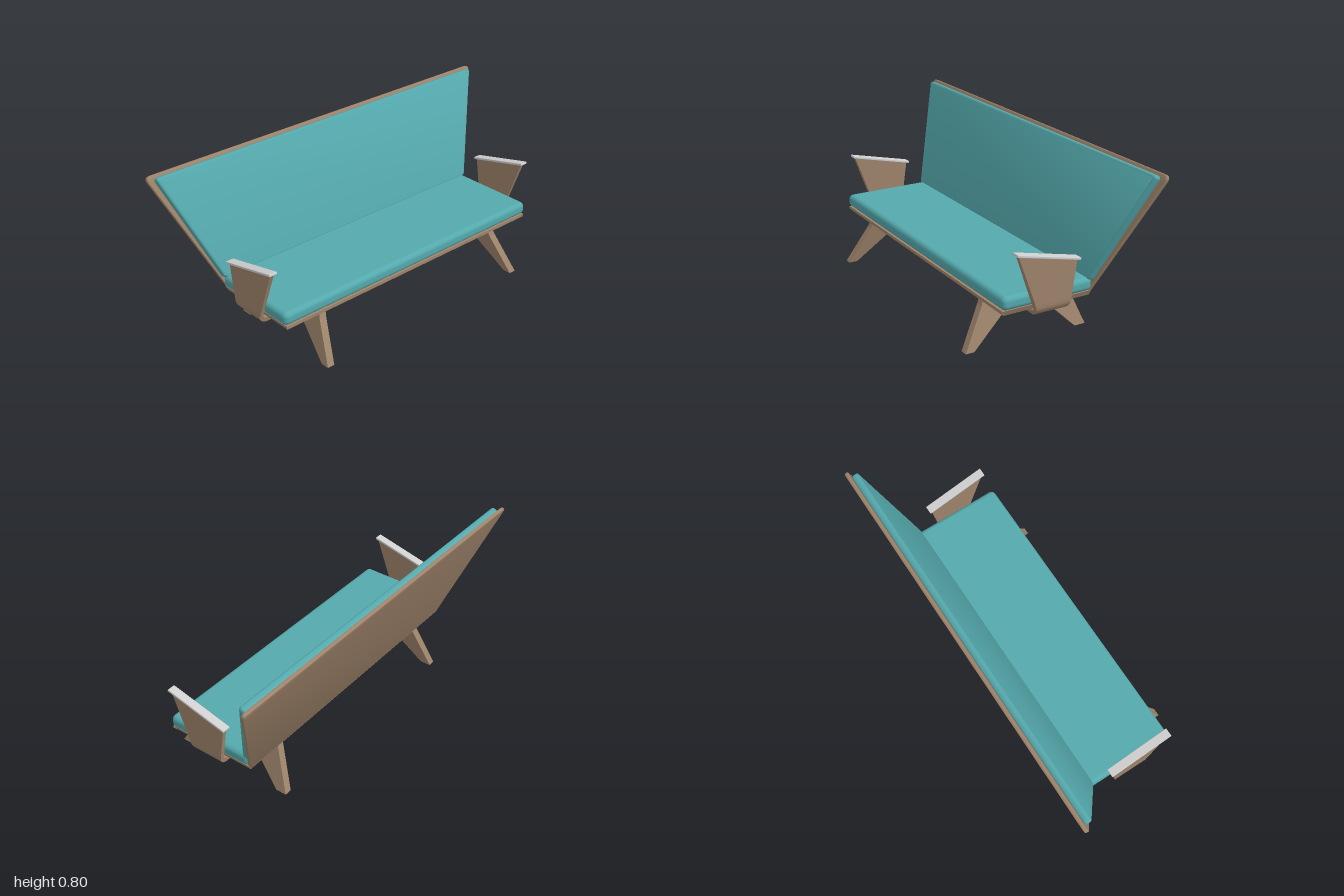
import * as THREE from 'three';
import { toCreasedNormals } from 'three/addons/utils/BufferGeometryUtils.js';
import { RoundedBoxGeometry } from 'three/addons/geometries/RoundedBoxGeometry.js';

const wood = new THREE.MeshStandardMaterial({ color: 0x9f846b });
wood.name = 'walnut wood';
const fabric = new THREE.MeshStandardMaterial({ color: 0x54a9ad });
fabric.name = 'teal fabric';
const metal = new THREE.MeshStandardMaterial({ color: 0xd0d0d0 });
metal.name = 'pale metal';

function addMesh(parent, name, geometry, material) {
  const mesh = new THREE.Mesh(geometry, material);
  mesh.name = name;
  parent.add(mesh);
  return mesh;
}

// Closed outline with rounded corners; each point is [x, y, radius]
function roundedShape(points) {
  const shape = new THREE.Shape();
  points.forEach(([x, y, r], i) => {
    const p = new THREE.Vector2(x, y);
    const toward = (q) => new THREE.Vector2(q[0], q[1]).sub(p).setLength(r).add(p);
    const a = toward(points[(i + points.length - 1) % points.length]);
    const b = toward(points[(i + 1) % points.length]);
    if (i === 0) shape.moveTo(a.x, a.y);
    else shape.lineTo(a.x, a.y);
    if (r > 0) shape.quadraticCurveTo(x, y, b.x, b.y);
  });
  shape.closePath();
  return shape;
}

// Slab from z0 to z1 whose rounded rim stays inside the outline
function slab(shape, z0, z1, bevel, segments) {
  const g = new THREE.ExtrudeGeometry(shape, {
    depth: z1 - z0 - 2 * bevel, bevelEnabled: true, bevelSize: bevel, bevelOffset: -bevel,
    bevelThickness: bevel, bevelSegments: segments, curveSegments: 6,
  });
  g.translate(0, 0, z0 + bevel);
  return toCreasedNormals(g, 0.6);
}

const trapezoid = (bottom, top, low, high, rLow, rHigh) => roundedShape([
  [-bottom, low, rLow], [bottom, low, rLow], [top, high, rHigh], [-top, high, rHigh],
]);

// Side profile [z, y] extruded across x, centred on x = 0
function sideProfile(points, width) {
  const shape = new THREE.Shape(points.map(([z, y]) => new THREE.Vector2(-z, y)));
  const g = new THREE.ExtrudeGeometry(shape, { depth: width, bevelEnabled: false });
  g.translate(0, 0, -width / 2);
  g.rotateY(Math.PI / 2);
  return g;
}

// Bent plywood band: arm, floor under the seat, arm; it widens toward the arm tops
function armBandGeometry() {
  const outer = 0.803, inner = 0.782, low = 0.19, t = outer - inner, r = 0.05, top = 0.49, bend = 0.25;
  const s = new THREE.Shape();
  s.moveTo(-outer, top);
  s.lineTo(-outer, bend);
  s.lineTo(-outer, low + r);
  s.absarc(-outer + r, low + r, r, Math.PI, Math.PI * 1.5, false);
  s.lineTo(outer - r, low);
  s.absarc(outer - r, low + r, r, -Math.PI / 2, 0, false);
  s.lineTo(outer, bend);
  s.lineTo(outer, top);
  s.lineTo(inner, top);
  s.lineTo(inner, bend);
  s.absarc(outer - r, low + r, r - t, 0, -Math.PI / 2, true);
  s.absarc(-outer + r, low + r, r - t, Math.PI * 1.5, Math.PI, true);
  s.lineTo(-inner, bend);
  s.lineTo(-inner, top);
  s.closePath();
  const g = new THREE.ExtrudeGeometry(s, { depth: 1, bevelEnabled: false, curveSegments: 10 });
  const p = g.attributes.position;
  const { mapLinear } = THREE.MathUtils;
  for (let i = 0; i < p.count; i++) {
    const y = p.getY(i);
    const isTop = y > top - 0.001;
    if (p.getZ(i) > 0.5) {
      p.setZ(i, y < bend ? mapLinear(y, low, bend, 0.131, 0.144) : mapLinear(y, bend, top, 0.144, 0.235));
    } else {
      const backY = isTop ? 0.417 : y;
      p.setY(i, backY);
      p.setZ(i, mapLinear(backY, low, 0.417, -0.03, -0.063));
    }
  }
  return toCreasedNormals(g, 0.5);
}

// Leg frame: front and back leg in one plate, splayed outward toward the floor
function legFrameGeometry(side) {
  const g = sideProfile([
    [0.378, 0], [0.335, 0], [0.135, 0.163], [0.135, 0.177], [-0.03, 0.177], [-0.03, 0.163],
    [-0.195, 0], [-0.25, 0], [-0.182, 0.175], [-0.167, 0.214], [0.26, 0.214], [0.272, 0.185],
  ], 0.037);
  const p = g.attributes.position;
  for (let i = 0; i < p.count; i++) {
    p.setX(i, p.getX(i) + side * (0.6 - p.getY(i) * 0.25));
  }
  g.computeVertexNormals();
  return g;
}

export function createModel() {
  const model = new THREE.Group();
  model.name = 'bench sofa';

  // Seat board with its underside edge chamfered
  const board = sideProfile([
    [0.285, 0.238], [0.285, 0.223], [0.27, 0.213], [-0.167, 0.213], [-0.17, 0.238],
  ], 1.53);
  const bp = board.attributes.position;
  for (let i = 0; i < bp.count; i++) {
    if (bp.getY(i) < 0.22) bp.setX(i, bp.getX(i) * 0.985);
  }
  board.computeVertexNormals();
  addMesh(model, 'seatBoard', board, wood);

  // Seat cushion
  const cushion = addMesh(model, 'seatCushion', new RoundedBoxGeometry(1.55, 0.064, 0.458, 4, 0.024), fabric);
  cushion.position.set(0, 0.27, 0.059);

  // Leaning back: board and cushion share one tilted group
  const back = new THREE.Group();
  back.name = 'backrest';
  back.position.set(0, 0.213, -0.167);
  back.rotation.x = -0.345;
  model.add(back);
  addMesh(back, 'backBoard', slab(trapezoid(0.752, 1.012, 0, 0.617, 0, 0.035), 0, 0.018, 0.004, 2), wood);
  addMesh(back, 'backCushion', slab(trapezoid(0.777, 0.98, 0.07, 0.603, 0.015, 0.025), 0.017, 0.053, 0.012, 4), fabric);

  // Arms
  addMesh(model, 'armBand', armBandGeometry(), wood);
  for (const side of [-1, 1]) {
    const label = side > 0 ? 'left' : 'right';
    const cap = addMesh(model, label + 'ArmCap', new RoundedBoxGeometry(0.042, 0.012, 0.329, 2, 0.003), metal);
    cap.position.set(side * 0.794, 0.459, 0.085);
    cap.rotation.x = -Math.atan(0.235);
    addMesh(model, label + 'LegFrame', legFrameGeometry(side), wood);
  }
  return model;
}
